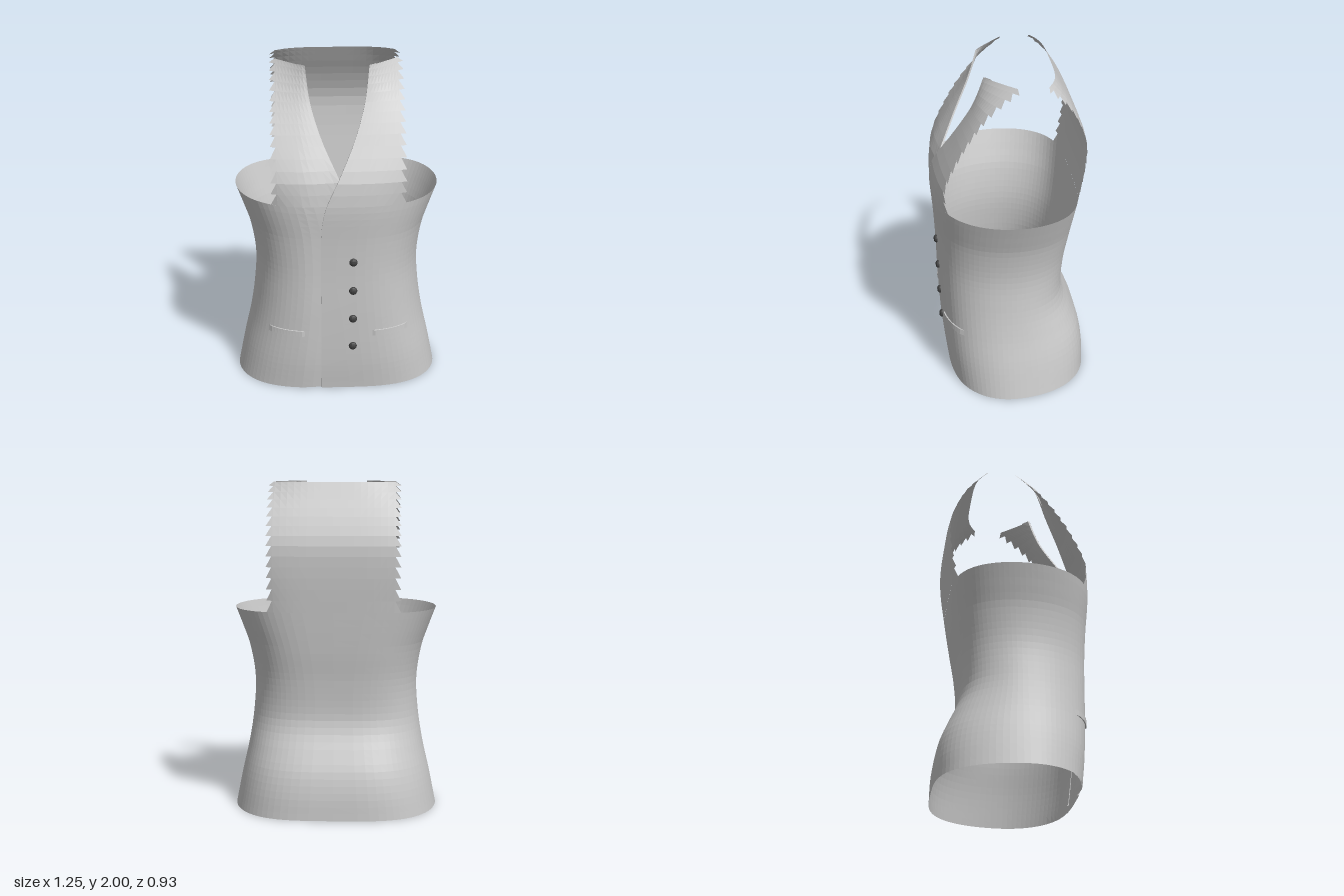
import * as THREE from 'three';

const fabric = new THREE.MeshStandardMaterial({ color: 0xcacaca, flatShading: true, side: THREE.DoubleSide });
fabric.name = 'grey fabric';
const dark = new THREE.MeshStandardMaterial({ color: 0x424242, flatShading: true });
dark.name = 'dark button';

// Smooth curve through [y, value] pairs
function curve(pts) {
  const slope = (i) => {
    const p = pts[Math.max(i - 1, 0)], q = pts[Math.min(i + 1, pts.length - 1)];
    return (q[1] - p[1]) / (q[0] - p[0]);
  };
  return (y) => {
    let i = 0;
    while (i < pts.length - 2 && y > pts[i + 1][0]) i++;
    const [y0, v0] = pts[i], [y1, v1] = pts[i + 1];
    const h = y1 - y0, t = THREE.MathUtils.clamp((y - y0) / h, 0, 1), s = 1 - t;
    return s * s * (1 + 2 * t) * v0 + t * t * (3 - 2 * t) * v1 + h * t * s * (s * slope(i) - t * slope(i + 1));
  };
}

// Body measurements by height
const halfWidth = curve([[0, 0.625], [0.2, 0.585], [0.4, 0.54], [0.6, 0.51], [0.8, 0.5], [1, 0.53], [1.12, 0.57], [1.24, 0.615]]);
const frontZ = curve([[0, 0.395], [0.2, 0.417], [0.5, 0.432], [0.8, 0.44], [1, 0.45], [1.2, 0.465], [1.3, 0.462],
  [1.4, 0.443], [1.6, 0.338], [1.8, 0.23], [1.9, 0.19], [2, 0.158]]);
const backZ = curve([[0, -0.466], [0.15, -0.46], [0.28, -0.435], [0.4, -0.385], [0.5, -0.34], [0.6, -0.32], [0.8, -0.335],
  [1, -0.365], [1.24, -0.395], [1.5, -0.422], [1.65, -0.42], [1.8, -0.365], [1.9, -0.31], [2, -0.255]]);
// Side seam position and squareness of the cross-section
const sideZ = curve([[0, 0.025], [0.7, 0.02], [1.24, 0]]);
const frontPower = curve([[0, 3.3], [0.7, 3.2], [1.24, 3]]);
const backPower = curve([[0, 3.5], [0.7, 3.4], [1.24, 4.2]]);
// How far the cloth curves away by the armhole above the chest
const frontDrop = curve([[1.24, 0.058], [1.4, 0.03], [1.6, 0.016], [1.75, 0.028], [1.84, 0.055], [1.91, 0.105], [2, 0.19]]);
const backDrop = curve([[1.24, 0.027], [1.5, 0.012], [1.8, 0.014], [1.9, 0.028], [2, 0.08]]);
// Overlapping front edge, running up into the neckline
const frontEdge = curve([[0, -0.105], [1.05, -0.105], [1.15, -0.095], [1.25, -0.07], [1.4, 0], [1.6, 0.095], [1.8, 0.16], [2, 0.187]]);

const CHEST = 1.24;

// Depth of the front or back cloth at (x, y)
function depth(x, y, front) {
  const z = front ? frontZ(y) : backZ(y);
  const power = front ? frontPower(y) : backPower(y);
  if (y <= CHEST) return sideZ(y) + (z - sideZ(y)) * Math.sqrt(1 - Math.pow(Math.abs(x) / halfWidth(y), power));
  if (!front) return z + backDrop(y) * Math.pow(Math.abs(x) / 0.38, power);
  const e = Math.max(frontEdge(y), 0);
  const r = Math.max(Math.abs(x) - e, 0) / (0.38 - e);
  const bend = THREE.MathUtils.lerp(power, 1.1, (y - CHEST) / (2 - CHEST));
  return z - frontDrop(y) * Math.pow(r, bend);
}

// The right front is tucked under the left one
function tuck(side, x) {
  return side > 0 ? 0 : -0.025 * THREE.MathUtils.smoothstep(x, -0.23, 0);
}

// Quad grid from point(u, y, t), t telling the bottom or top of a row; rows are separate so that edges may step
function patch(name, rows, cols, point) {
  const pos = [];
  for (let r = 0; r < rows.length - 1; r++) {
    for (let c = 0; c < cols; c++) {
      const p = (i, t) => point((c + i) / cols, rows[r + t], t);
      const a = p(0, 0), b = p(1, 0), d = p(1, 1), e = p(0, 1);
      pos.push(...a, ...b, ...d, ...a, ...d, ...e);
    }
  }
  const geo = new THREE.BufferGeometry();
  geo.setAttribute('position', new THREE.Float32BufferAttribute(pos, 3));
  geo.computeVertexNormals();
  const mesh = new THREE.Mesh(geo, fabric);
  mesh.name = name;
  return mesh;
}

const steps = (from, to, n) => Array.from({ length: n + 1 }, (_, i) => from + (to - from) * i / n);

export function createModel() {
  const vest = new THREE.Group();
  vest.name = 'waistcoat';

  const bodyRows = steps(0, CHEST, 30);
  const toothRows = steps(0, 1, 14).map((t) => CHEST + (2 - CHEST) * (1 - Math.pow(1 - t, 1.3)));
  // Position across an upper panel: even columns, then a saw-tooth wide at the bottom of each row
  const across = (from, u, t) => {
    if (u === 1) return t ? 0.362 : 0.396;
    return THREE.MathUtils.lerp(from, 0.355, u / 0.9);
  };

  for (const side of [1, -1]) {
    const label = side > 0 ? 'left' : 'right';

    // Half of the torso wrap, from front edge to centre back
    vest.add(patch(label + 'Body', bodyRows, 40, (u, y) => {
      const a = halfWidth(y), e = frontEdge(y);
      const start = Math.asin(Math.sign(e) * Math.pow(Math.abs(e) / a, frontPower(y) / 2));
      const th = start + (Math.PI - start) * u;
      const s = Math.sin(th), c = Math.cos(th), front = c > 0;
      const x = side * a * Math.sign(s) * Math.pow(Math.abs(s), 2 / (front ? frontPower(y) : backPower(y)));
      const reach = (front ? frontZ(y) : backZ(y)) - sideZ(y);
      return [x, y, sideZ(y) + reach * Math.abs(c) + (front ? tuck(side, x) : 0)];
    }));

    // Front strap between neckline and armhole
    vest.add(patch(label + 'FrontStrap', toothRows, 10, (u, y, t) => {
      const x = side * across(frontEdge(y), u, t);
      return [x, y, depth(x, y, true) + tuck(side, x)];
    }));

    // Folded facing inside the front edge
    vest.add(patch(label + 'Facing', steps(0, 2, 48), 2, (u, y) => {
      const x = side * (frontEdge(y) + (u > 0.6 ? 0.04 : 0));
      return [x, y, depth(x, y, true) + tuck(side, x) - (u > 0.1 ? 0.01 : 0)];
    }));

    // Turned hem inside the front
    vest.add(patch(label + 'Hem', [0, 0.045], 12, (u, y) => {
      const x = side * (0.1 + 0.38 * u);
      return [x, y, depth(x, y, true) + tuck(side, x) - 0.008];
    }));

    // Pocket welt, a raised strip with folded ends and edges
    const welt = [0.375, 0.376, 0.412, 0.413];
    vest.add(patch(label + 'PocketWelt', welt, 12, (u, y) => {
      const x = side * (0.205 + 0.22 * u);
      const rim = u === 0 || u === 1 || y === welt[0] || y === welt[3];
      return [x, y, depth(x, y, true) + tuck(side, x) + (rim ? 0.002 : 0.009)];
    }));
  }

  // Upper back, each half with a saw-tooth armhole
  for (const side of [1, -1]) {
    vest.add(patch(side > 0 ? 'leftUpperBack' : 'rightUpperBack', toothRows, 10, (u, y, t) => {
      const x = side * across(0, u, t);
      return [x, y, depth(x, y, false)];
    }));
  }

  // Buttons
  const buttonGeo = new THREE.SphereGeometry(0.025, 10, 8).scale(1, 1, 0.7);
  for (let i = 0; i < 4; i++) {
    const y = 0.31 + 0.19 * i;
    const button = new THREE.Mesh(buttonGeo, dark);
    button.name = 'button' + (i + 1);
    button.position.set(0.085, y, depth(0.085, y, true) + 0.004);
    vest.add(button);
  }
  return vest;
}
